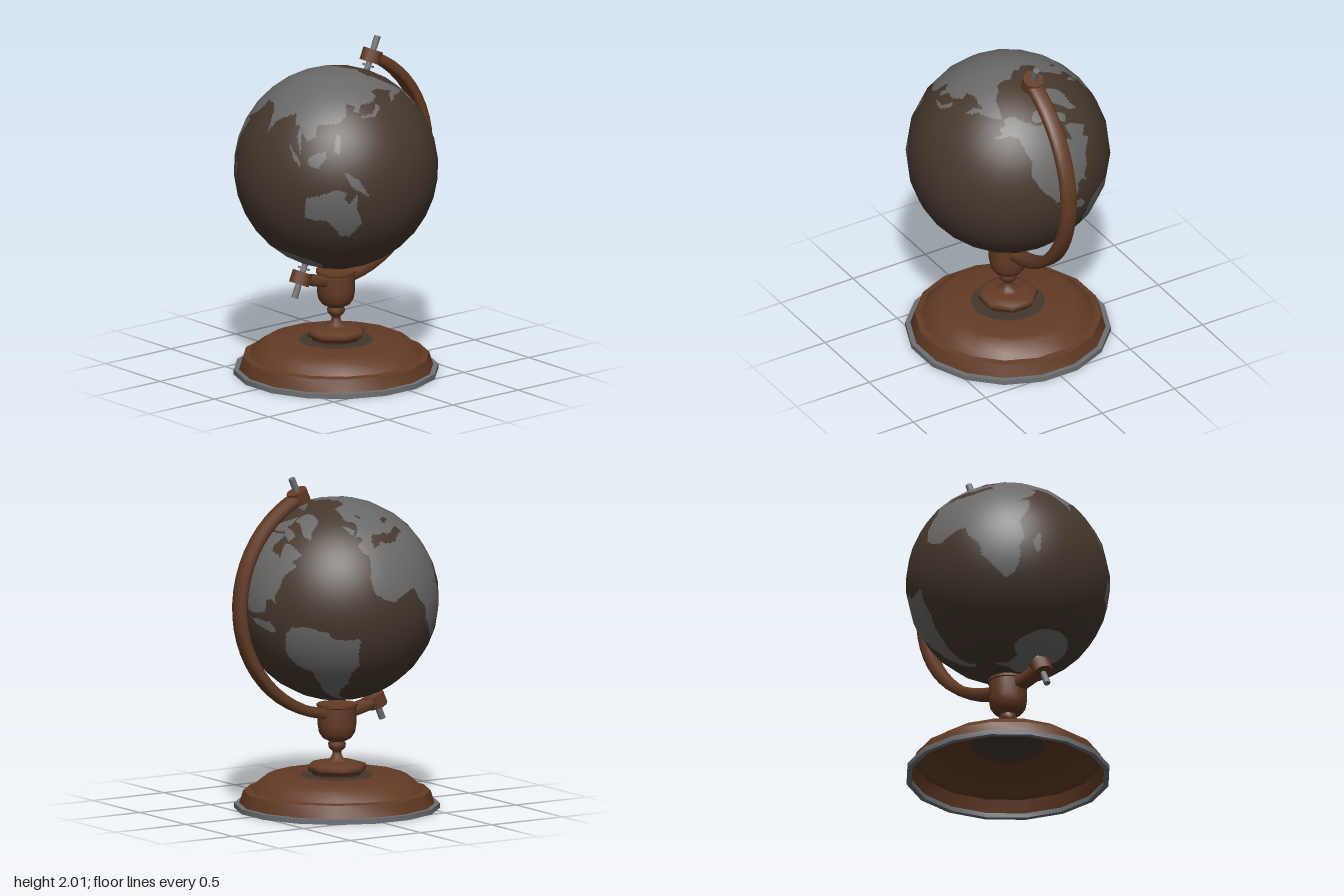
import * as THREE from 'three';
import { toCreasedNormals } from 'three/addons/utils/BufferGeometryUtils.js';

const CX = -0.065, CY = 1.254, R = 0.604, TILT = THREE.MathUtils.degToRad(23.2);

const material = (name, color, side = THREE.FrontSide) => {
  const m = new THREE.MeshStandardMaterial({ color, side });
  m.name = name;
  return m;
};

// Coastlines as flat lists of longitude, latitude in degrees
const LANDS = {
  eurasia: [-9, 37, -9, 43, -2, 44, -1, 47, -4, 48.5, 3, 51, 8, 54, 8, 57, 5, 59, 6, 62, 13, 66, 20, 70, 28, 71, 41, 67, 46, 68,
    60, 69, 68, 73, 73, 71.5, 80, 73, 100, 77, 112, 74, 130, 71.5, 140, 73, 160, 70, 178, 69, 190, 66, 178, 62, 163, 58, 162, 55,
    157, 51, 156, 57, 163, 61.5, 143, 59, 136, 54.5, 141, 52, 138, 46, 129, 41, 129.5, 35.5, 126, 35, 125, 39, 119, 38.5, 122, 30,
    119, 25, 113, 22, 107, 20, 109, 13, 105, 9, 100, 13.5, 103.5, 1.5, 98, 10, 97, 17, 94, 16.5, 91, 22.5, 87, 21, 80, 15.5,
    77.5, 8, 72.5, 20, 67, 25, 57, 26, 60, 22.5, 55, 17, 45, 12.5, 35, 28, 20, 33, -5, 34],
  africa: [-6, 36, 10, 38, 35, 34, 45, 25, 45, 12, 51, 12, 48, 4.5, 40, -3, 40, -15, 35, -20, 35, -24, 32.5, -28, 27, -34, 20, -35,
    17.5, -30, 12, -17, 13.5, -10, 9, -1, 9.5, 4, 5, 5, -8, 4.5, -13, 8.5, -17, 14, -16, 22, -10, 30],
  northAmerica: [-168, 66, -162, 70, -156, 71, -128, 70, -115, 68, -95, 69, -85, 69, -82, 67, -93, 61, -92, 57, -82, 55, -79, 52,
    -78, 58, -77, 62, -70, 61, -65, 59, -56, 52, -66, 49, -61, 46, -66, 44, -70, 43, -74, 40, -76, 35, -81, 31, -80, 25.5,
    -83, 29, -88, 28, -89, 22, -96, 20.5, -105, 21, -109, 26, -115, 30, -118, 34, -124, 40, -124, 48, -132, 55, -140, 60,
    -150, 60, -158, 56, -164, 55, -158, 59, -165, 61, -161, 64.5],
  centralAmerica: [-103, 18, -95, 17, -86, 16, -83, 12, -84, 9.5, -90, 11.5, -98, 14],
  southAmerica: [-77, 8, -72, 12, -62, 10.5, -51, 4, -50, 0, -44, -3, -35, -6, -39, -14, -41, -22, -48, -27, -53, -34, -62, -40,
    -66, -45, -69, -51, -67, -55, -73, -53, -74, -45, -73, -37, -71, -30, -70, -18, -76, -14, -81, -6, -80, 0],
  greenland: [-73, 78, -60, 82, -32, 83, -18, 79, -22, 71, -40, 65, -44, 60, -52, 64, -54, 70, -60, 76],
  arcticIslands: [-125, 72, -120, 76, -95, 80, -70, 83, -78, 76, -90, 74, -72, 71, -63, 66, -72, 63, -78, 66, -88, 71, -105, 70, -117, 70],
  australia: [114, -22, 122, -18, 130, -12, 136, -12, 136, -16, 140, -17.5, 142.5, -11, 146, -19, 153, -26, 150, -37, 144, -39,
    138, -35, 131, -31.5, 124, -33.5, 115.5, -34],
  newGuinea: [131, -1, 141, -3, 150, -10, 144, -9, 138, -8],
  borneo: [109, 1, 117, 7, 119, 4, 116, -4, 110, -3],
  philippines: [120, 18, 123, 18, 126, 7, 122, 8],
  sumatra: [95, 5, 104, -2, 106, -6, 101, -3],
  madagascar: [44, -18, 49.5, -13, 50, -16, 47, -25, 44, -24],
  britain: [-5, 50, 1, 51.5, -2, 57, -5, 58.5, -5, 54],
  japan: [130, 32, 136, 34, 141, 36, 145, 44, 141, 45, 139, 38],
  antarctica: [-180, -79, -150, -78, -100, -74, -75, -73, -60, -65, -60, -74, -35, -78, -10, -72, 50, -70, 90, -70, 140, -71,
    165, -74, 180, -79, 180, -91, -180, -91],
};
const INLAND_SEAS = {
  mediterranean: [-1, 36, 5, 42, 10, 43, 14, 40, 18, 40, 20, 37, 27, 36, 35, 36, 34, 31.5, 25, 32, 20, 31, 11, 34, 10, 37],
  black: [29, 42, 31, 45, 38, 44, 39, 41.5],
  baltic: [17, 55, 19, 59, 22, 58, 20, 55],
};

function inside(poly, lon, lat) {
  let hit = false;
  for (let i = 0, j = poly.length - 2; i < poly.length; j = i, i += 2) {
    const [x1, y1, x2, y2] = [poly[i], poly[i + 1], poly[j], poly[j + 1]];
    if (y1 > lat !== y2 > lat && lon < ((x2 - x1) * (lat - y1)) / (y2 - y1) + x1) hit = !hit;
  }
  return hit;
}
const within = (set, lon, lat) =>
  Object.values(set).some((p) => inside(p, lon, lat) || inside(p, lon - 360, lat));
const isLand = (lon, lat) => within(LANDS, lon, lat) && !within(INLAND_SEAS, lon, lat);

// Fine grid laid over a coarse ball, its faces sorted into sea and land
function globeGeometry() {
  const geo = new THREE.SphereGeometry(R, 288, 144);
  const { position, uv } = geo.attributes;
  const U = 24, V = 16;
  const corner = (i, j) => {
    const a = (i / U) * Math.PI * 2, b = (j / V) * Math.PI;
    return new THREE.Vector3(-Math.cos(a) * Math.sin(b), Math.cos(b), Math.sin(a) * Math.sin(b)).multiplyScalar(R);
  };
  for (let k = 0; k < position.count; k++) {
    const u = uv.getX(k) * U, v = (1 - uv.getY(k)) * V;
    const i = Math.floor(u), j = Math.floor(v);
    const p = corner(i, j).lerp(corner(i + 1, j), u - i);
    const q = corner(i, j + 1).lerp(corner(i + 1, j + 1), u - i);
    p.lerp(q, v - j);
    position.setXYZ(k, p.x, p.y, p.z);
  }
  const sea = [], land = [], index = geo.index.array;
  for (let t = 0; t < index.length; t += 3) {
    const tri = [index[t], index[t + 1], index[t + 2]];
    const u = tri.reduce((s, k) => s + uv.getX(k), 0) / 3;
    const v = tri.reduce((s, k) => s + uv.getY(k), 0) / 3;
    const lon = ((78 + 360 * u + 180) % 360) - 180;
    const list = isLand(lon < -9 && lon < -180 ? lon + 360 : lon, v * 180 - 90)
      || isLand(lon + 360, v * 180 - 90) ? land : sea;
    list.push(...tri);
  }
  geo.setIndex(sea.concat(land));
  geo.clearGroups();
  geo.addGroup(0, sea.length, 0);
  geo.addGroup(sea.length, land.length, 1);
  return geo;
}

export function createModel() {
  const wood = material('wood', 0x633b25, THREE.DoubleSide);
  const metal = material('metal', 0x6e7073, THREE.DoubleSide);
  const sea = material('sea', 0x46382e);
  const land = material('land', 0x6b6967);
  const felt = material('darkWood', 0x42372f, THREE.DoubleSide);

  const model = new THREE.Group();
  model.name = 'deskGlobe';
  const add = (parent, name, geo, mat) => {
    const mesh = new THREE.Mesh(geo, mat);
    mesh.name = name;
    parent.add(mesh);
    return mesh;
  };
  const turned = (name, pts, sides, mat, crease) => {
    let geo = new THREE.LatheGeometry(pts.map(([x, y]) => new THREE.Vector2(x, y)), sides);
    if (crease) geo = toCreasedNormals(geo, crease);
    const mesh = add(model, name, geo, mat);
    mesh.position.x = CX;
    mesh.rotation.y = Math.PI / sides;
    return mesh;
  };

  // Hollow base with a metal rim
  turned('baseRim', [[0.577, 0], [0.607, 0], [0.607, 0.03], [0.577, 0.03], [0.577, 0]], 16, metal, 0.6);
  turned('base', [[0.577, 0.028], [0.553, 0.105], [0.515, 0.112], [0.485, 0.145], [0.44, 0.18], [0.4, 0.198], [0.22, 0.2]], 16, wood, 0.6);
  turned('baseCentre', [[0.22, 0.2], [0, 0.2]], 16, felt);

  // Turned stem and the cup that holds the arm
  turned('foot', [[0.145, 0.2], [0.15, 0.218], [0.172, 0.226], [0.178, 0.245], [0.17, 0.265], [0.12, 0.279], [0.06, 0.287]], 8, wood);
  turned('stem', [[0.075, 0.283], [0.04, 0.297], [0.026, 0.325], [0.028, 0.342], [0.05, 0.362], [0.054, 0.385], [0.045, 0.4], [0.05, 0.41]], 12, wood);
  turned('cup', [[0, 0.4], [0.05, 0.402], [0.085, 0.42], [0.106, 0.452], [0.114, 0.5], [0.114, 0.605], [0.12, 0.61], [0.12, 0.625], [0, 0.625]], 16, wood, 0.7);

  // Curved arm from pole to pole
  const section = [[0.657, 0], [0.657, 0.04], [0.672, 0.048], [0.7, 0.048], [0.718, 0.034], [0.72, 0]];
  const loop = [...section.map(([r, z]) => [r, -z]), ...section.slice(0, -1).reverse()];
  const armGeo = new THREE.LatheGeometry(loop.map(([r, z]) => new THREE.Vector2(r, z)), 28, -TILT, Math.PI);
  armGeo.rotateX(Math.PI / 2);
  add(model, 'arm', armGeo, wood).position.set(CX, CY, 0);

  // Tilted globe with a knob and pin at each pole
  const tilted = new THREE.Group();
  tilted.name = 'tiltedGlobe';
  tilted.position.set(CX, CY, 0);
  tilted.rotation.z = -TILT;
  model.add(tilted);
  add(tilted, 'globe', globeGeometry(), [sea, land]);
  for (const s of [1, -1]) {
    const side = s > 0 ? 'top' : 'bottom';
    const rod = (name, r, from, to, mat) => {
      add(tilted, side + name, new THREE.CylinderGeometry(r, r, to - from, 12), mat).position.y = (s * (from + to)) / 2;
    };
    rod('Knob', 0.062, 0.65, 0.727, wood);
    rod('Collar', 0.036, 0.622, 0.634, metal);
    rod('Pin', 0.018, 0.59, 0.8, metal);
    rod('PinTip', 0.02, 0.745, 0.812, metal);
  }
  return model;
}
